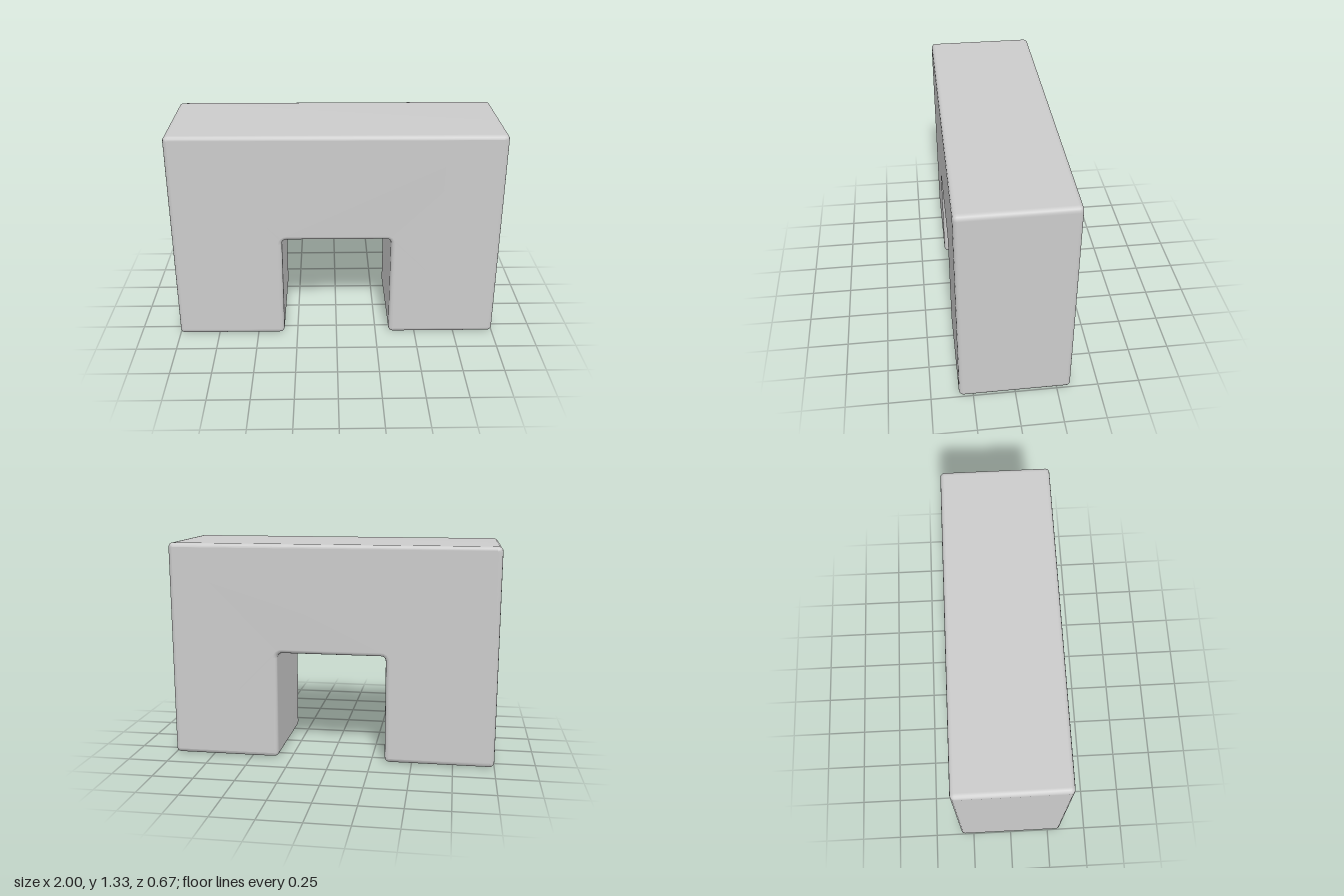
import * as THREE from 'three';
import { mergeVertices } from 'three/addons/utils/BufferGeometryUtils.js';

const WIDTH = 2, HEIGHT = 4 / 3, DEPTH = 2 / 3;
const CORNER = 0.032, BEVEL = 0.025;

// Closed outline whose corners are all slightly rounded
function roundedOutline(points, radius) {
  const shape = new THREE.Shape();
  const pts = points.map(([x, y]) => new THREE.Vector2(x, y));
  const toward = (a, b) => b.clone().sub(a).setLength(radius).add(a);
  pts.forEach((p, i) => {
    const start = toward(p, pts[(i + pts.length - 1) % pts.length]);
    const end = toward(p, pts[(i + 1) % pts.length]);
    if (i === 0) shape.moveTo(start.x, start.y);
    else shape.lineTo(start.x, start.y);
    shape.quadraticCurveTo(p.x, p.y, end.x, end.y);
  });
  shape.closePath();
  return shape;
}

export function createModel() {
  const group = new THREE.Group();
  group.name = 'archBlock';

  // Two square legs joined by a lintel
  const w = WIDTH / 2, gap = WIDTH / 6, top = HEIGHT / 2;
  const outline = roundedOutline([
    [-w, 0], [-gap, 0], [-gap, top], [gap, top],
    [gap, 0], [w, 0], [w, HEIGHT], [-w, HEIGHT],
  ], CORNER);

  // Softly bevelled slab with fully smooth normals
  let geometry = new THREE.ExtrudeGeometry(outline, {
    depth: DEPTH - 2 * BEVEL,
    bevelEnabled: true,
    bevelSize: BEVEL,
    bevelThickness: BEVEL,
    bevelOffset: -BEVEL,
    bevelSegments: 3,
    curveSegments: 4,
  });
  geometry.translate(0, 0, BEVEL - DEPTH / 2);
  geometry.deleteAttribute('uv');
  geometry.deleteAttribute('normal');
  geometry = mergeVertices(geometry, 1e-4);
  geometry.computeVertexNormals();

  const arch = new THREE.Mesh(geometry, new THREE.MeshStandardMaterial({ color: 0xcccccc }));
  arch.name = 'arch';
  group.add(arch);
  return group;
}
